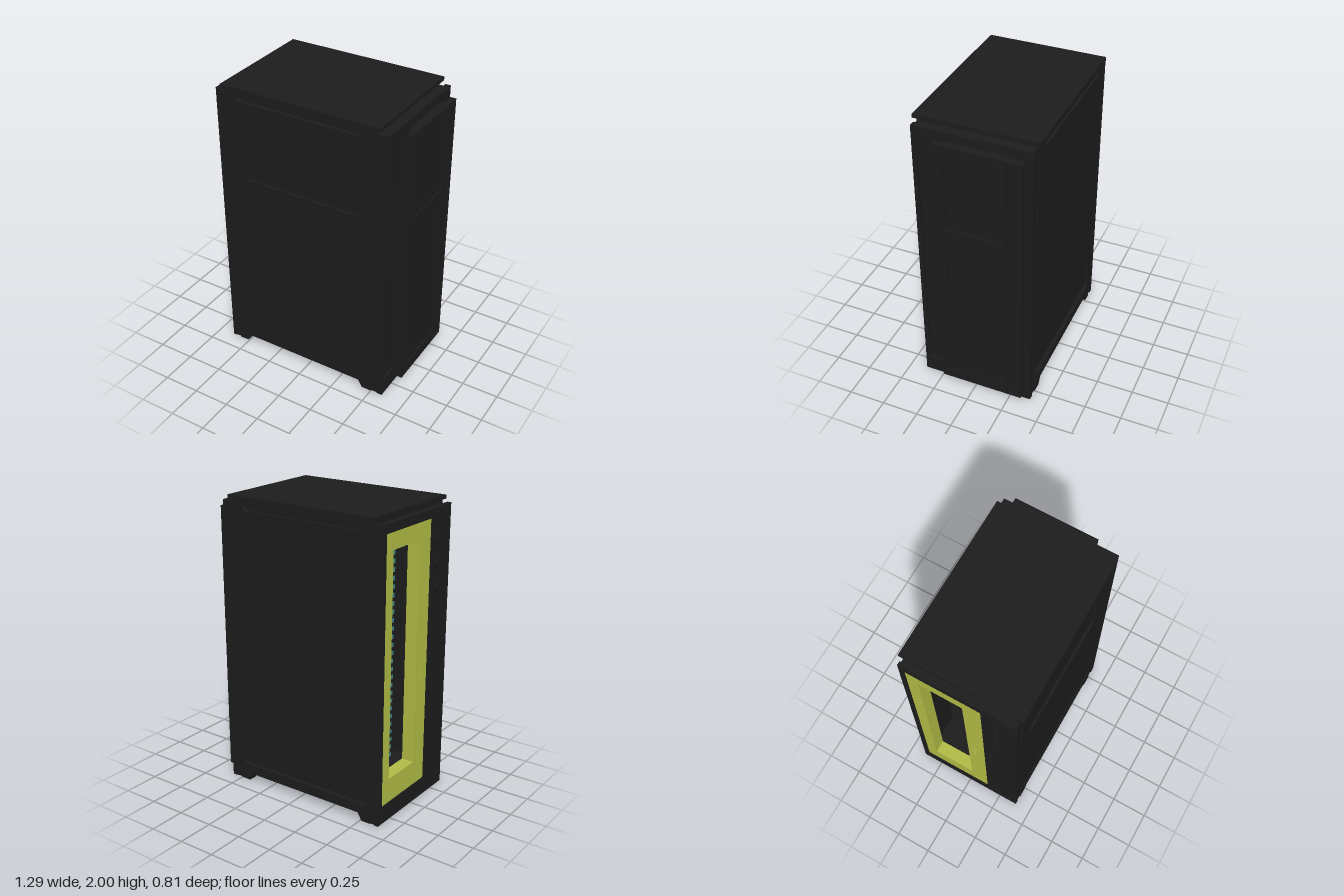
import * as THREE from 'three';

const mat = (color) => new THREE.MeshStandardMaterial({ color, flatShading: true });

export function createModel() {
  const dark = mat(0x1c1c1c), olive = mat(0xb0ba45), teal = mat(0x3f8688);
  const root = new THREE.Group();

  const add = (name, geo, material = dark) => {
    const m = new THREE.Mesh(geo, material);
    m.name = name;
    root.add(m);
    return m;
  };
  // box given by its minimum and maximum on each axis
  const box = (name, x0, x1, y0, y1, z0, z1, material) =>
    add(name, new THREE.BoxGeometry(x1 - x0, y1 - y0, z1 - z0)
      .translate((x0 + x1) / 2, (y0 + y1) / 2, (z0 + z1) / 2), material);

  const rect = (a0, a1, b0, b1) => [[a0, b0], [a1, b0], [a1, b1], [a0, b1]];
  const plate = (outline, holes, depth) => {
    const pts = (l) => l.map(([a, b]) => new THREE.Vector2(a, b));
    const s = new THREE.Shape(pts(outline));
    s.holes = holes.map((h) => new THREE.Path(pts(h)));
    return new THREE.ExtrudeGeometry(s, { depth, bevelEnabled: false });
  };
  // plate facing front: x,y outline between two z values
  const plateZ = (name, outline, holes, z0, z1) =>
    add(name, plate(outline, holes, z1 - z0).translate(0, 0, z0));
  // plate facing sideways: z,y outline between two x values
  const plateX = (name, outline, holes, x0, x1, material) =>
    add(name, plate(outline, holes, x1 - x0).rotateY(-Math.PI / 2).translate(x1, 0, 0), material);

  // Wall outline with a foot notch along the bottom
  const notched = (x0, x1, top) => [
    [x0, 0], [-0.51, 0], [-0.48, 0.052], [0.4, 0.052], [0.43, 0], [x1, 0], [x1, top], [x0, top]];
  const groove = [[-0.48, 1.905], [0.4, 1.905], [0.43, 1.93], [-0.51, 1.93]];

  // Front: core wall, then layers that step back into the recesses
  const frontField = rect(-0.53, 0.455, 0.165, 1.85);
  const frontWindow = rect(-0.455, 0.38, 1.35, 1.68);
  plateZ('frontCore', notched(-0.61, 0.545, 1.95), [], 0.33, 0.362);
  plateZ('frontPanel', notched(-0.575, 0.5, 1.975), [groove, frontWindow], 0.362, 0.379);
  plateZ('frontFrame', notched(-0.575, 0.5, 1.975), [groove, frontField], 0.379, 0.387);
  box('toeKick', -0.58, 0.545, 0, 0.06, 0.3, 0.33);

  // Back
  const backRecess = rect(-0.535, 0.49, 0.12, 0.335);
  plateZ('backCore', notched(-0.61, 0.545, 1.95), [], -0.362, -0.33);
  plateZ('backPanel', notched(-0.575, 0.5, 1.975), [groove, backRecess], -0.388, -0.362);

  // Corner posts between the front and back panels and the sides
  for (const [x0, x1] of [[-0.61, -0.575], [0.5, 0.545]])
    for (const [z0, z1] of [[-0.381, -0.362], [0.362, 0.38]])
      box('cornerPost', x0, x1, 0, 1.95, z0, z1);

  // Roof, top plate and floor
  box('roof', -0.61, 0.545, 1.9, 1.95, -0.33, 0.33);
  box('roofNeck', -0.575, 0.5, 1.95, 1.975, -0.362, 0.362);
  box('topPlate', -0.592, 0.528, 1.975, 2, -0.405, 0.402);
  box('floor', -0.55, 0.545, 0.13, 0.15, -0.33, 0.33);

  // Right side wall with a shallow recess in front of the door
  const side = rect(-0.388, 0.386, 0, 1.96);
  plateX('rightSideFrame', side, [rect(0.225, 0.355, 0.115, 1.73)], 0.565, 0.583);
  plateX('rightSideCore', side, [], 0.545, 0.565);
  box('rightSill', 0.5, 0.545, 0, 0.05, -0.33, 0.33);

  // Raised door on the right side, with three recessed fields
  box('doorNeck', 0.583, 0.605, 0.055, 1.905, -0.245, 0.162);
  const door = rect(-0.345, 0.222, 0.055, 1.905);
  plateX('doorBack', door, [], 0.604, 0.632);
  plateX('doorFace', door, [
    rect(-0.225, 0.155, 1.31, 1.885),
    rect(-0.225, 0.155, 0.135, 1.27),
    rect(-0.335, -0.25, 0.07, 1.89)], 0.632, 0.645);

  // Left side wall, open for the coloured window frame
  const bay = rect(-0.347, 0.15, 0.125, 1.9);
  plateX('leftSideWall', side, [bay], -0.638, -0.61);
  plateX('leftSideCore', rect(-0.33, 0.33, 0, 1.94), [rect(-0.32, 0.15, 0.125, 1.9)], -0.61, -0.58);
  plateX('windowFrame', bay, [rect(-0.27, 0.025, 0.29, 1.79)], -0.636, -0.55, olive);
  for (let i = 0; i < 4; i++)
    box('latch', -0.639, -0.634, 0.84 + i * 0.04, 0.87 + i * 0.04, 0.065, 0.09, olive);

  // Round knobs beside the window
  for (const y of [1.755, 1.6, 1.443]) {
    const knob = add('knob', new THREE.CylinderGeometry(0.031, 0.031, 0.012, 16));
    knob.rotation.z = Math.PI / 2;
    knob.position.set(-0.642, y, 0.24);
  }

  // Upright inner board behind the window, with dark bars across it
  box('innerBoard', -0.32, -0.295, 0.125, 1.88, -0.33, 0.25, teal);
  for (let i = 0; i < 28; i++) {
    const y = 0.19 + i * 0.058;
    box('boardBar', -0.33, -0.32, y, y + 0.02, -0.33, 0.25);
  }
  return root;
}
